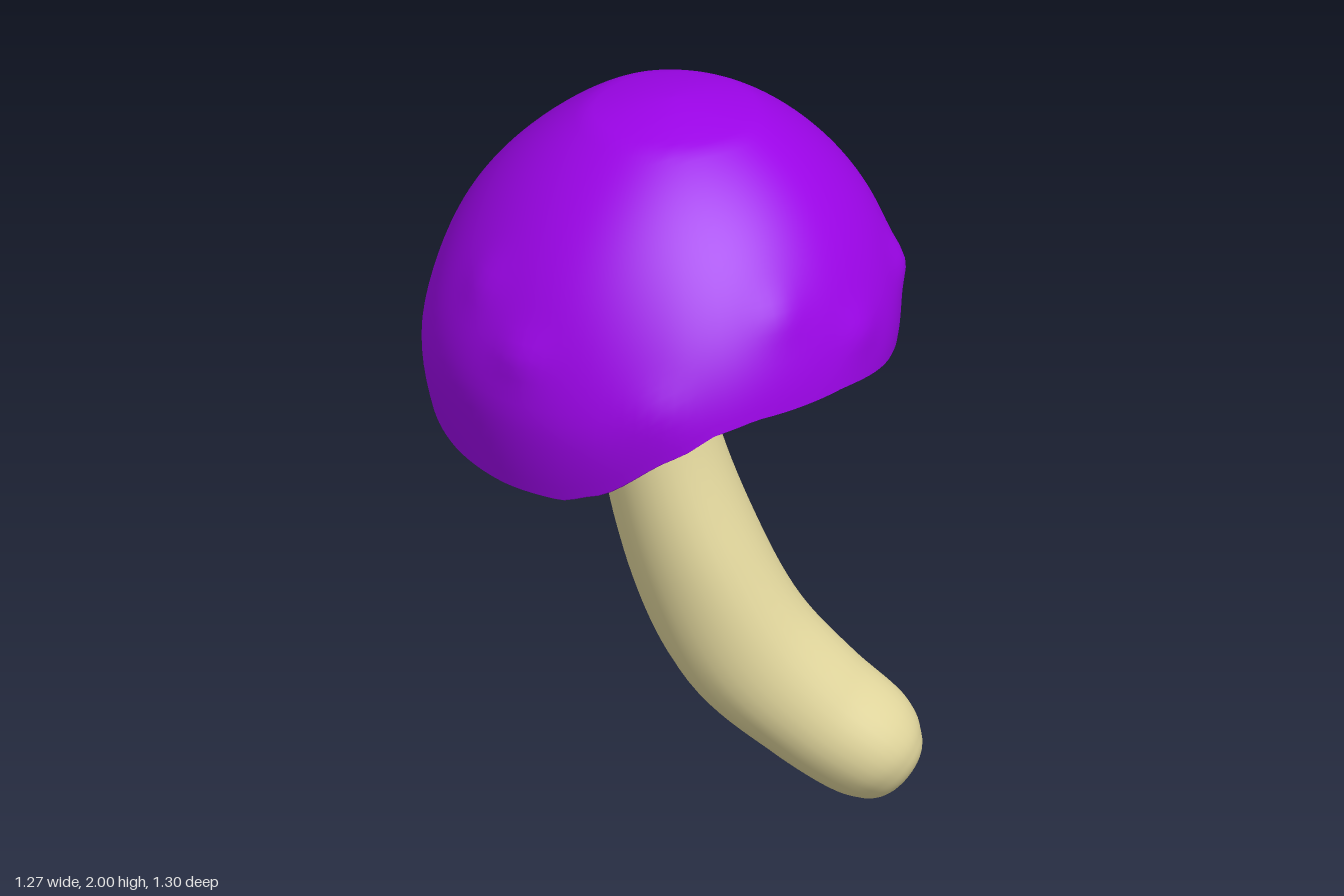
import * as THREE from 'three';

const TAU = Math.PI * 2;
const { lerp, smoothstep } = THREE.MathUtils;

// Smooth surface closed around u; fn(u, v) returns [x, y, z], with u and v from 0 to 1
function loopSurface(fn, nu, nv) {
  const pos = [], idx = [];
  for (let j = 0; j <= nv; j++)
    for (let i = 0; i < nu; i++) pos.push(...fn(i / nu, j / nv));
  for (let j = 0; j < nv; j++)
    for (let i = 0; i < nu; i++) {
      const k = (i + 1) % nu;
      const a = j * nu + i, b = j * nu + k, c = a + nu, d = b + nu;
      idx.push(a, b, d, a, d, c);
    }
  const geo = new THREE.BufferGeometry();
  geo.setAttribute('position', new THREE.Float32BufferAttribute(pos, 3));
  geo.setIndex(idx);
  geo.computeVertexNormals();
  return geo;
}

// Wavy rim: [degrees from +x towards +z, height]
const RIM = [
  [0, 1.34], [20, 1.35], [45, 1.38], [70, 1.38], [80, 1.36], [90, 1.3], [108, 1.17],
  [118, 1.13], [135, 1.12], [155, 1.12], [180, 1.14], [198, 1.18], [215, 1.2], [232, 1.22],
  [250, 1.23], [270, 1.23], [300, 1.23], [318, 1.25], [340, 1.31], [360, 1.34],
];
function rimHeight(u) {
  const deg = u * 360;
  let i = 0;
  while (i < RIM.length - 2 && RIM[i + 1][0] <= deg) i++;
  const [a, ya] = RIM[i], [b, yb] = RIM[i + 1];
  return lerp(ya, yb, smoothstep(deg, a, b) * 0.4 + (deg - a) / (b - a) * 0.6);
}

// Small lumps on the cap: [degrees, height, size]
const LUMPS = [
  [0, 1.53, 0.022], [35, 1.5, 0.012], [60, 1.62, 0.01], [130, 1.5, 0.015], [150, 1.62, 0.01],
  [215, 1.45, 0.01], [262, 1.5, 0.012], [318, 1.57, 0.014], [95, 1.42, 0.01],
];

// Radius of the dome at a height, flattened towards +x near the rim
function capRadius(u, y) {
  const above = (y - 1.33) / 0.7, p = 1.7;
  const t = above < 0 ? -0.75 * above : above;
  const round = Math.pow(Math.max(0, 1 - Math.pow(t, p)), 1 / p);
  const c = Math.cos(u * TAU), low = (1 - Math.max(0, above)) ** 2;
  let flat = 0.02 * c * c;
  if (c > 0) flat = 0.12 * (u < 0.5 ? Math.pow(c, 1.3) : smoothstep(c, 0.5, 0.87));
  let r = 0.65 * round * (1 - low * flat);
  for (const [deg, h, size] of LUMPS) {
    const da = ((u * 360 - deg + 540) % 360) - 180;
    r += size * Math.exp(-((da / 7) ** 2) - ((y - h) / 0.06) ** 2);
  }
  return r + 0.004 * round * Math.sin(u * TAU * 5 + y * 9);
}

const around = (u, r, y, cx = 0) => [cx + r * Math.cos(u * TAU), y, r * Math.sin(u * TAU)];

// Outer dome, with a nearly flat crown
function capPoint(u, v) {
  const y = 2.03 - (2.03 - rimHeight(u)) * Math.pow(v, 1.7);
  const shown = y < 1.96 ? y : 1.96 + (y - 1.96) * 0.57;
  return around(u, v === 0 ? 0 : capRadius(u, y), shown);
}

// Hollow underside, from w = 0 at the rim to w = 1 at the stem
function undersidePoint(u, w) {
  const h = rimHeight(u);
  const r = lerp(capRadius(u, h) - 0.015, 0.06, w);
  return around(u, r, h + (1.66 - h) * Math.pow(w, 0.7), -0.09 * w);
}

// Ragged boundary of the rim colour, with one taller patch
function lipWidth(u) {
  const deg = u * 360;
  if (deg > 148 && deg < 161) return 0.1;
  return 0.006 + 0.005 * Math.sin(u * TAU * 17) * Math.sin(u * TAU * 7);
}

function lipPoint(u, v) {
  const h = rimHeight(u), r = capRadius(u, h);
  if (v === 0) return around(u, r, h);
  if (v < 0.4) return around(u, r - 0.008, h - 0.005);
  return undersidePoint(u, lipWidth(u) * (v - 1 / 3) * 1.5);
}

// Stem centre line and radii: [x, y, radius in the bend plane, radius along z]
const STEM = [
  [-0.09, 1.72, 0.11, 0.12], [-0.065, 1.3, 0.135, 0.145], [-0.03, 1.0, 0.155, 0.165],
  [0.06, 0.7, 0.175, 0.19], [0.18, 0.45, 0.18, 0.195], [0.35, 0.265, 0.165, 0.18],
  [0.49, 0.147, 0.152, 0.158], [0.553, 0.09, 0.118, 0.12], [0.583, 0.063, 0.07, 0.07],
  [0.59, 0.057, 0, 0],
];
const stemPath = new THREE.CatmullRomCurve3(
  STEM.map(([x, y]) => new THREE.Vector3(x, y, 0)), false, 'catmullrom');
const stemSize = new THREE.CatmullRomCurve3(
  STEM.map(([, , a, b]) => new THREE.Vector3(a, b, 0)), false, 'catmullrom');

function stemPoint(u, v) {
  const c = stemPath.getPoint(v), t = stemPath.getTangent(v), s = stemSize.getPoint(v);
  const bump = 1 + 0.02 * Math.sin(u * TAU * 3 + v * 14) * Math.sin(v * Math.PI);
  const a = s.x * bump * Math.cos(u * TAU), b = s.y * bump * Math.sin(u * TAU);
  return [c.x - t.y * a, Math.max(0, c.y + t.x * a), lerp(-0.016, 0.014, v) + b];
}

export function createModel() {
  const purple = new THREE.MeshStandardMaterial({ color: 0x9c04e8, side: THREE.DoubleSide });
  purple.name = 'purple cap';
  const cream = new THREE.MeshStandardMaterial({ color: 0xe2d79d, side: THREE.DoubleSide });
  cream.name = 'cream flesh';

  const model = new THREE.Group();
  model.name = 'mushroom';
  const add = (name, geo, mat) => {
    const mesh = new THREE.Mesh(geo, mat);
    mesh.name = name;
    model.add(mesh);
  };

  add('cap', loopSurface(capPoint, 120, 40), purple);
  add('capRim', loopSurface(lipPoint, 120, 6), purple);
  add('capUnderside', loopSurface((u, v) => {
    const w0 = lipWidth(u);
    return undersidePoint(u, w0 + (1 - w0) * v * v);
  }, 120, 20), cream);
  add('stem', loopSurface(stemPoint, 32, 72), cream);
  return model;
}
